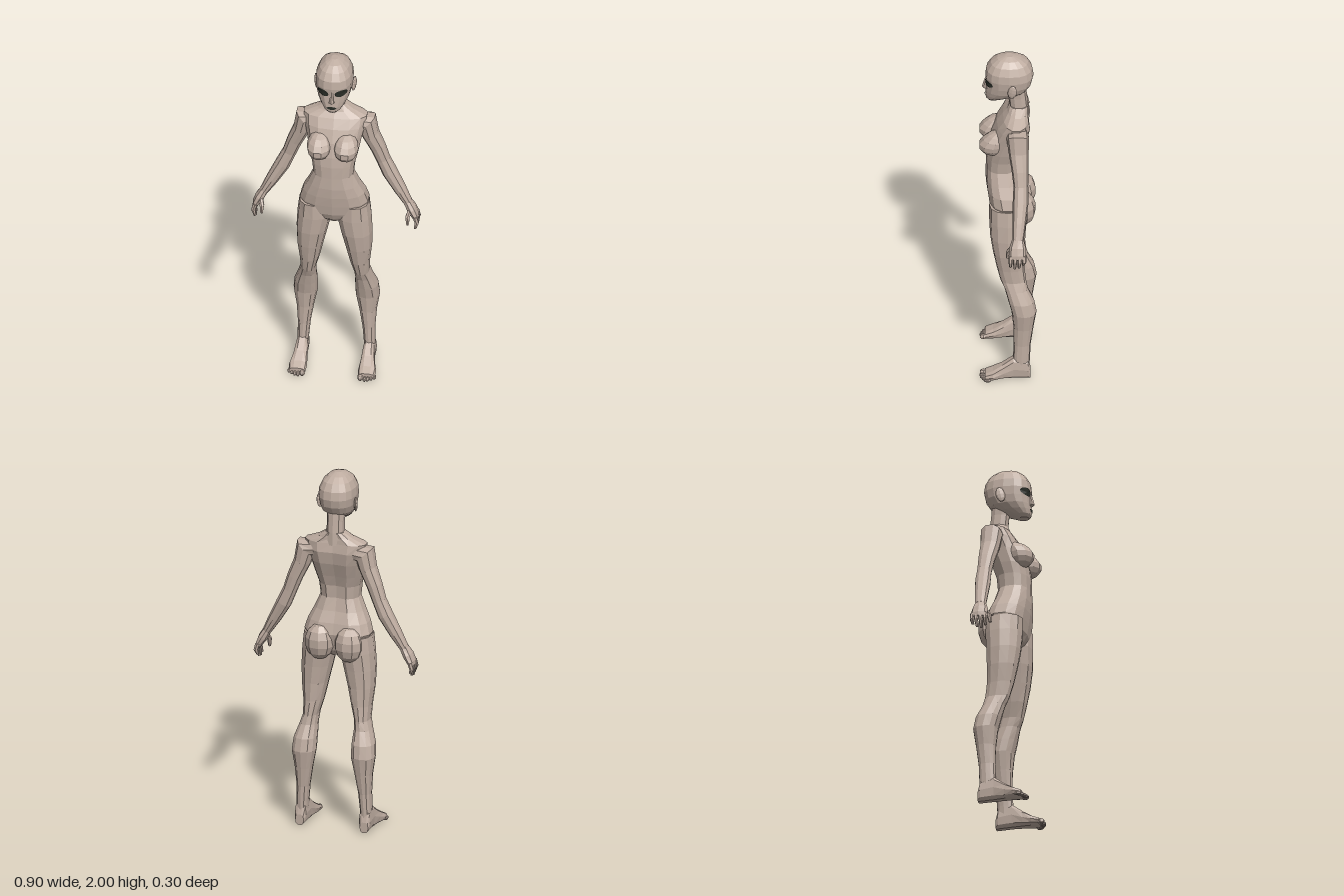
import * as THREE from 'three';

const skin = new THREE.MeshStandardMaterial({ color: 0xbfada1 });
skin.name = 'skin';
const dark = new THREE.MeshStandardMaterial({ color: 0x2a2e28 });
dark.name = 'dark eye and lip';

// Faceted look: every triangle keeps its own normal
function faceted(geo) {
  const g = geo.index ? geo.toNonIndexed() : geo;
  g.deleteAttribute('uv');
  g.computeVertexNormals();
  return g;
}

// Skin over rings of points that turn right-handed about the direction of travel
function loft(rings) {
  const pos = [], n = rings[0].length;
  const tri = (...p) => p.forEach(v => pos.push(v.x, v.y, v.z));
  const mid = r => r.reduce((s, v) => s.add(v), new THREE.Vector3()).divideScalar(n);
  const first = rings[0], last = rings[rings.length - 1], c0 = mid(first), c1 = mid(last);
  for (let j = 0; j < n; j++) {
    const k = (j + 1) % n;
    for (let i = 0; i + 1 < rings.length; i++) {
      const a = rings[i], b = rings[i + 1];
      tri(a[j], a[k], b[k]);
      tri(a[j], b[k], b[j]);
    }
    tri(c0, first[k], first[j]);
    tri(c1, last[j], last[k]);
  }
  const g = new THREE.BufferGeometry();
  g.setAttribute('position', new THREE.Float32BufferAttribute(pos, 3));
  return faceted(g);
}

// Rounded-square ring spanned by two axes
function ring(center, e1, e2, r1, r2, n, p = 2.3) {
  const f = v => Math.sign(v) * Math.abs(v) ** (2 / p);
  return Array.from({ length: n }, (_, j) => {
    const a = j / n * Math.PI * 2;
    return center.clone().addScaledVector(e1, f(Math.cos(a)) * r1).addScaledVector(e2, f(Math.sin(a)) * r2);
  });
}

const V = (x, y, z) => new THREE.Vector3(x, y, z);
const X = V(1, 0, 0), Y = V(0, 1, 0), Z = V(0, 0, 1);

// Upright rings from rows of [y, xInner, xOuter, zFront, zBack]
const upright = (rows, n, p) => rows.map(([y, xi, xo, zf, zb]) =>
  ring(V((xi + xo) / 2, y, (zf + zb) / 2), Z, X, (zf - zb) / 2, (xo - xi) / 2, n, p));
const centred = rows => rows.map(([y, w, zf, zb]) => [y, -w, w, zf, zb]);

// Limb along a path from rows of [x, y, z, radius, radius in z]
function limb(rows, n) {
  return loft(rows.map(([x, y, z, r, rz], i) => {
    const a = rows[Math.max(i - 1, 0)], b = rows[Math.min(i + 1, rows.length - 1)];
    const t = V(b[0] - a[0], b[1] - a[1], 0).normalize();
    return ring(V(x, y, z), Z, t.cross(Z), rz, r, n, 2.2);
  }));
}

function blob(x, y, z, rx, ry, rz, w = 8, h = 6) {
  return faceted(new THREE.SphereGeometry(1, w, h).scale(rx, ry, rz).translate(x, y, z));
}

// Mirror in x and restore the corner order
function mirrored(geo) {
  const g = geo.clone(), p = g.attributes.position, s = geo.attributes.position;
  for (let i = 0; i < p.count; i++) {
    const k = i % 3 === 0 ? i : i % 3 === 1 ? i + 1 : i - 1;
    p.setXYZ(i, -s.getX(k), s.getY(k), s.getZ(k));
  }
  g.computeVertexNormals();
  return g;
}

const headRows = [
  [1.718, 0.026, 0.108, 0.05], [1.735, 0.046, 0.119, 0.015], [1.76, 0.066, 0.121, -0.05],
  [1.79, 0.084, 0.119, -0.1], [1.83, 0.095, 0.116, -0.125], [1.875, 0.1, 0.121, -0.135],
  [1.92, 0.096, 0.116, -0.128], [1.96, 0.078, 0.092, -0.106], [1.986, 0.05, 0.058, -0.07], [2, 0.018, 0.015, -0.028]
];

// Depth of the face at a point, used to lay plates on it
function faceZ(x, y) {
  const i = Math.max(0, headRows.findIndex(r => r[0] > y) - 1);
  const a = headRows[i], b = headRows[i + 1], t = (y - a[0]) / (b[0] - a[0]);
  const [w, zf, zb] = [1, 2, 3].map(k => a[k] + (b[k] - a[k]) * t);
  const m = (zf + zb) / 2;
  return m + (zf - m) * Math.max(0, 1 - Math.abs(x / w) ** 2.4) ** (1 / 2.4);
}
function plate(cx, cy, rx, ry, slant, n) {
  const g = new THREE.CircleGeometry(1, n), p = g.attributes.position;
  for (let i = 0; i < p.count; i++) {
    const x = cx + p.getX(i) * rx, y = cy + p.getY(i) * ry + p.getX(i) * slant;
    p.setXYZ(i, x, y, faceZ(x, y) + 0.004);
  }
  return faceted(g);
}

export function createModel() {
  const model = new THREE.Group();
  model.name = 'figure';
  const add = (name, geo, mat = skin, parent = model) => {
    const m = new THREE.Mesh(geo, mat);
    m.name = name;
    parent.add(m);
  };
  const pair = (name, geo, mat = skin) => {
    add(name + 'Left', geo, mat);
    add(name + 'Right', mirrored(geo), mat);
  };

  // Torso with a groove down the spine
  const torso = upright(centred([
    [0.965, 0.03, 0.045, -0.05], [1, 0.1, 0.08, -0.085], [1.04, 0.165, 0.098, -0.1], [1.1, 0.186, 0.108, -0.115],
    [1.16, 0.168, 0.116, -0.1], [1.22, 0.138, 0.12, -0.075], [1.29, 0.108, 0.118, -0.055], [1.36, 0.116, 0.117, -0.06],
    [1.42, 0.132, 0.11, -0.08], [1.5, 0.148, 0.09, -0.11], [1.57, 0.165, 0.06, -0.124], [1.62, 0.172, 0.028, -0.115],
    [1.65, 0.1, 0.005, -0.108], [1.68, 0.052, -0.008, -0.106]
  ]), 14, 2.4);
  torso.forEach(r => { r[7].z += 0.014; });
  add('torso', loft(torso));
  add('neck', loft(upright(centred([
    [1.61, 0.065, 0.025, -0.11], [1.68, 0.047, -0.006, -0.106], [1.74, 0.046, 0, -0.1], [1.79, 0.05, 0.01, -0.095]
  ]), 10)));

  // Chest, sloping back towards the top
  const breast = new THREE.SphereGeometry(1, 10, 8).scale(0.066, 0.075, 0.076).translate(0.072, 1.475, 0.084);
  const bp = breast.attributes.position;
  for (let i = 0; i < bp.count; i++) bp.setZ(i, bp.getZ(i) - Math.max(0, bp.getY(i) - 1.465) * 0.5);
  pair('breast', faceted(breast));
  pair('buttock', blob(0.082, 1.05, -0.08, 0.08, 0.1, 0.068, 9, 7));

  // Head, nose, ears, eyes and lips
  add('head', loft(upright(centred(headRows), 16, 2.4)));
  add('nose', loft(upright(centred([
    [1.783, 0.013, 0.122, 0.1], [1.793, 0.017, 0.138, 0.1], [1.806, 0.012, 0.136, 0.1], [1.862, 0.007, 0.119, 0.1]
  ]), 6, 2)));
  const ear = new THREE.SphereGeometry(1, 8, 6).scale(0.01, 0.042, 0.025);
  ear.rotateX(-0.2).rotateY(-0.3).translate(0.101, 1.828, -0.022);
  pair('ear', faceted(ear));
  pair('eye', plate(0.049, 1.85, 0.032, 0.022, 0.004, 12), dark);
  add('lips', plate(0, 1.757, 0.027, 0.01, 0, 8), dark);

  // Arms and hands
  pair('arm', limb([
    [0.11, 1.57, -0.05, 0.045, 0.055], [0.165, 1.567, -0.052, 0.062, 0.06], [0.183, 1.49, -0.056, 0.047, 0.053],
    [0.222, 1.4, -0.064, 0.042, 0.045], [0.25, 1.32, -0.068, 0.038, 0.039], [0.285, 1.24, -0.067, 0.041, 0.042],
    [0.34, 1.14, -0.06, 0.034, 0.036], [0.385, 1.06, -0.053, 0.024, 0.03]
  ], 10));
  pair('hand', limb([
    [0.38, 1.07, -0.053, 0.023, 0.029], [0.405, 1.025, -0.05, 0.026, 0.044],
    [0.424, 0.99, -0.05, 0.02, 0.046], [0.43, 0.97, -0.05, 0.014, 0.044]
  ], 8));
  for (let i = 0; i < 4; i++) {
    const z = -0.086 + i * 0.024, tip = [0.93, 0.913, 0.907, 0.918][i];
    pair('finger' + (i + 1), limb([
      [0.427, 0.99, z, 0.013, 0.012], [0.437, 0.955, z, 0.012, 0.011], [0.427, tip, z * 0.95, 0.007, 0.007]
    ], 6));
  }
  pair('thumb', limb([
    [0.402, 1.035, -0.03, 0.013, 0.014], [0.389, 0.995, -0.004, 0.013, 0.013], [0.39, 0.95, 0.003, 0.007, 0.008]
  ], 6));

  // Legs
  pair('leg', loft(upright([
    [0.06, 0.15, 0.208, -0.03, -0.112], [0.13, 0.146, 0.208, -0.026, -0.116], [0.22, 0.138, 0.207, -0.03, -0.12],
    [0.33, 0.12, 0.215, -0.028, -0.135], [0.43, 0.1, 0.231, -0.018, -0.151], [0.5, 0.1, 0.224, 0, -0.138],
    [0.57, 0.104, 0.2, 0.018, -0.105], [0.62, 0.102, 0.184, 0.04, -0.095], [0.7, 0.08, 0.188, 0.06, -0.087],
    [0.8, 0.058, 0.2, 0.08, -0.087], [0.9, 0.034, 0.203, 0.095, -0.092], [1, 0.012, 0.198, 0.1, -0.1],
    [1.09, 0.02, 0.187, 0.1, -0.1]
  ], 12, 2.3)));

  // Feet from rows of [z, xInner, xOuter, top], then toes
  pair('foot', loft([
    [-0.12, 0.157, 0.204, 0.06], [-0.105, 0.148, 0.211, 0.12], [-0.03, 0.146, 0.211, 0.135],
    [0.03, 0.141, 0.22, 0.088], [0.08, 0.137, 0.233, 0.056], [0.122, 0.14, 0.228, 0.036]
  ].map(([z, xi, xo, top]) => ring(V((xi + xo) / 2, (top + 0.008) / 2, z), X, Y, (xo - xi) / 2, (top - 0.008) / 2 + 0.004, 10, 2.8))));
  for (let i = 0; i < 5; i++) {
    const r = i ? 0.0105 : 0.016;
    pair('toe' + (i + 1), blob(i ? 0.161 + i * 0.0165 : 0.155, r + 0.002, [0.13, 0.134, 0.129, 0.12, 0.108][i], r, r, 0.022, 6, 5));
  }
  return model;
}
